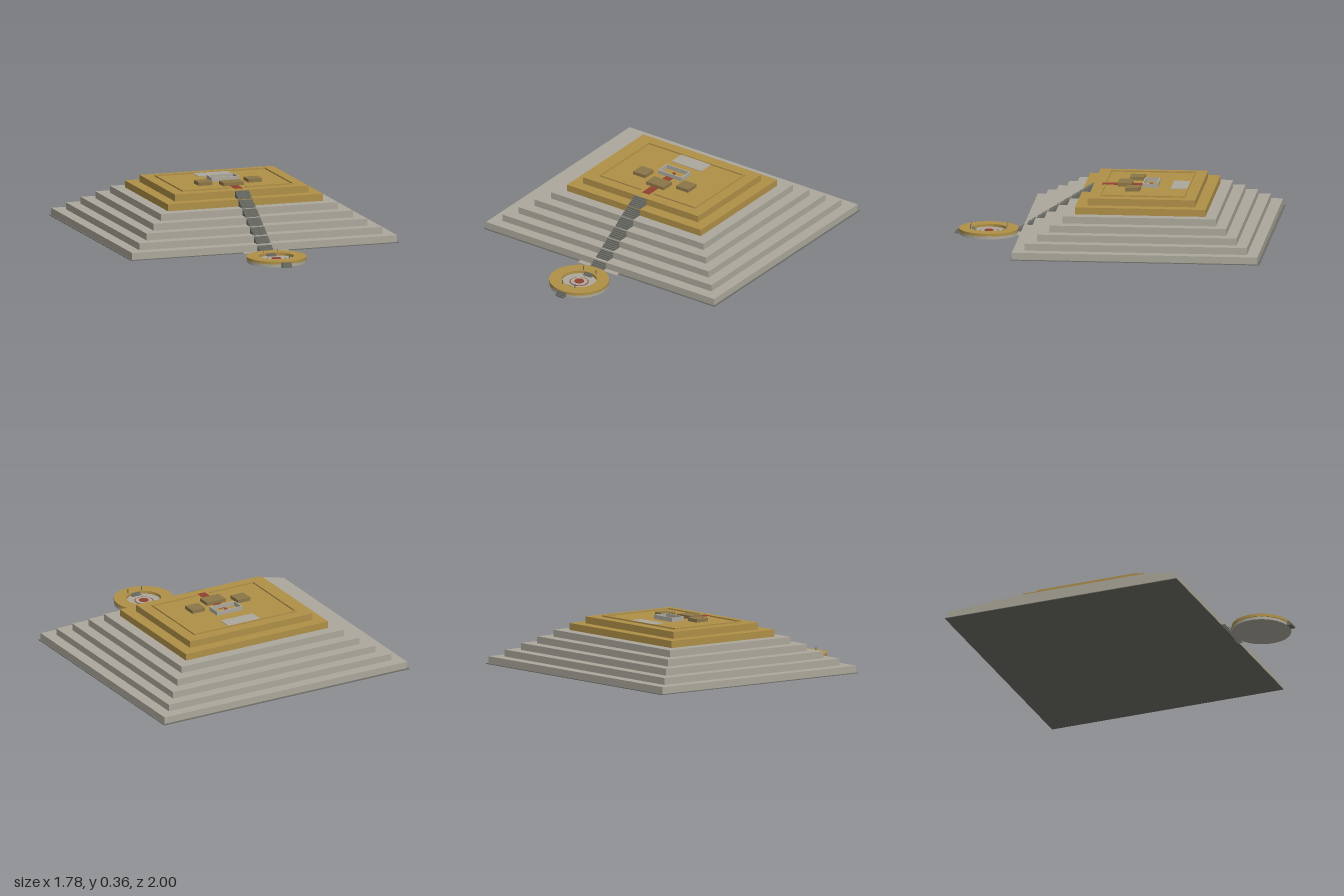
import * as THREE from 'three';

const mat = (color) => new THREE.MeshStandardMaterial({ color });
const stone = mat(0xaca89c), gold = mat(0xb09048), darkGold = mat(0x8b7648);
const dark = mat(0x6e6e68), red = mat(0x91402f);

export function createModel() {
  const model = new THREE.Group();

  const add = (name, geometry, material, parent = model) => {
    const mesh = new THREE.Mesh(geometry, material);
    mesh.name = name;
    parent.add(mesh);
    return mesh;
  };
  // Box given by its limits on each axis
  const box = (name, x0, x1, y0, y1, z0, z1, material, parent) =>
    add(name, new THREE.BoxGeometry(x1 - x0, y1 - y0, z1 - z0), material, parent)
      .position.set((x0 + x1) / 2, (y0 + y1) / 2, (z0 + z1) / 2);
  const group = (name) => {
    const g = new THREE.Group();
    g.name = name;
    model.add(g);
    return g;
  };

  // Ground plate and apron below the stairs
  box('groundPlate', -0.89, 0.89, 0.022, 0.026, -1, 0.57, dark);
  box('apron', -0.15, 0.15, 0.022, 0.027, 0.56, 0.595, stone);

  // Seven stepped tiers, the top two gold
  const tiers = group('tiers');
  for (let i = 0; i < 7; i++) {
    const inset = i * 0.0728, y = 0.026 + i * 0.0439;
    box('tier', -0.88 + inset, 0.88 - inset, y, y + 0.0439,
      -0.987 + inset * 0.99, 0.56 - inset, i < 5 ? stone : gold, tiers);
  }
  const top = 0.333;

  // Long staircase up the front
  const stairs = group('stairs');
  const count = 40, run = 0.478 / count, rise = 0.298 / count;
  for (let i = 0; i < count; i++) {
    const z = 0.6 - i * run, y = 0.04 + i * rise;
    box('step', -0.046, 0.046, Math.max(0.024, y - 0.04), y, z - run, z, dark, stairs);
  }

  // Low wall round the terrace, open at the front
  const wall = group('terraceWall');
  const t = 0.007, h = top + 0.009;
  box('backWall', -0.37, 0.37, top, h, -0.483, -0.483 + t, gold, wall);
  for (const s of [-1, 1]) {
    const x = s * 0.3665;
    box('sideWall', x - t / 2, x + t / 2, top, h, -0.483, 0.052, gold, wall);
    const c = s * 0.21;
    box('frontWall', c - 0.16, c + 0.16, top, h, 0.052 - t, 0.052, gold, wall);
  }

  // Terrace furnishings
  box('backSlab', -0.115, 0.115, top, top + 0.004, -0.476, -0.37, stone);
  box('carpet', -0.026, 0.026, top, top + 0.003, -0.2, 0.07, red);
  box('centreBlock', -0.068, 0.068, top, 0.354, -0.12, -0.03, darkGold);
  for (const s of [-1, 1])
    box('sideBlock', s * 0.165 - 0.046, s * 0.165 + 0.046, top, 0.355, -0.183, -0.092, darkGold);

  // Open-topped shrine with a small red marker
  const shrine = group('shrine');
  box('shrineBack', -0.092, 0.092, top, 0.36, -0.288, -0.28, stone, shrine);
  box('shrineFront', -0.092, 0.092, top, 0.36, -0.198, -0.19, stone, shrine);
  for (const s of [-1, 1])
    box('shrineSide', s * 0.088 - 0.004, s * 0.088 + 0.004, top, 0.36, -0.28, -0.198, stone, shrine);
  add('marker', new THREE.CylinderGeometry(0.01, 0.01, 0.012, 12), red, shrine)
    .position.set(0, top + 0.006, -0.238);

  // Round arena in front of the stairs
  const arena = group('arena');
  arena.position.z = 0.785;
  const disc = (name, r, y0, y1, material) =>
    add(name, new THREE.CylinderGeometry(r, r, y1 - y0, 48), material, arena)
      .position.y = (y0 + y1) / 2;
  disc('arenaBase', 0.186, 0, 0.018, stone);
  disc('redCircle', 0.06, 0.018, 0.0195, red);
  disc('innerFloor', 0.054, 0.018, 0.021, stone);
  disc('arenaCentre', 0.03, 0.021, 0.024, red);
  const rim = new THREE.Shape().absarc(0, 0, 0.189, 0, Math.PI * 2);
  rim.holes.push(new THREE.Path().absarc(0, 0, 0.109, 0, Math.PI * 2, true));
  const rimGeometry = new THREE.ExtrudeGeometry(rim, { depth: 0.018, bevelEnabled: false, curveSegments: 24 });
  rimGeometry.rotateX(-Math.PI / 2).translate(0, 0.019, 0);
  add('arenaRim', rimGeometry, gold, arena);

  // Small steps into the arena, with posts beside them
  for (const s of [-1, 1]) {
    for (let i = 0; i < 3; i++) {
      const z = s * (0.106 - i * 0.009);
      box('innerStep', -0.03, 0.03, 0.018, 0.034 - i * 0.005, z - 0.0045, z + 0.0045, dark, arena);
    }
    for (const x of [-0.048, 0.048])
      box('post', x - 0.002, x + 0.002, 0.018, 0.064, s * 0.113 - 0.002, s * 0.113 + 0.002, dark, arena);
  }
  for (let i = 0; i < 3; i++)
    box('outerStep', -0.03, 0.03, 0, 0.03 - i * 0.01, 0.182, 0.197 + i * 0.009, dark, arena);

  return model;
}
